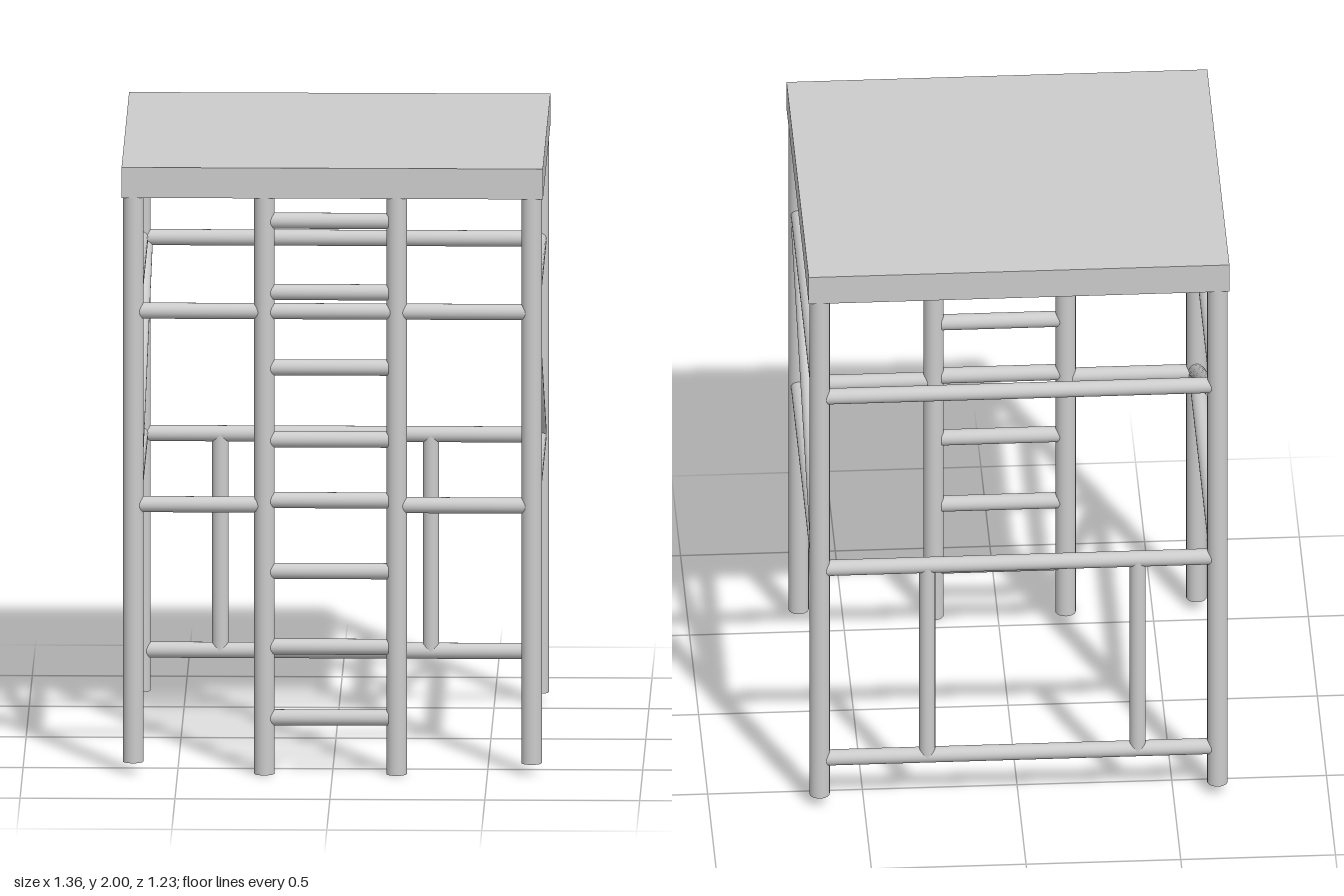
import * as THREE from 'three';

const material = new THREE.MeshStandardMaterial({ color: 0xcccccc });
const UP = new THREE.Vector3(0, 1, 0);

// Round pole running from point a to point b
function pole(name, a, b, radius) {
  const start = new THREE.Vector3(...a);
  const end = new THREE.Vector3(...b);
  const dir = end.clone().sub(start);
  const mesh = new THREE.Mesh(new THREE.CylinderGeometry(radius, radius, dir.length(), 24), material);
  mesh.name = name;
  mesh.position.copy(start).add(end).multiplyScalar(0.5);
  mesh.quaternion.setFromUnitVectors(UP, dir.normalize());
  return mesh;
}

export function createModel() {
  const model = new THREE.Group();
  model.name = 'ladderTower';
  const X = 0.643, Z = 0.58;
  const LEG = 0.033, RAIL = 0.026;
  const TOP = 1.53, MID = 0.885, LOW = 0.172, DECK = 1.9;
  const add = (...args) => model.add(pole(...args));

  // Flat platform
  const platform = new THREE.Mesh(new THREE.BoxGeometry(1.36, 0.1, 1.23), material);
  platform.name = 'platform';
  platform.position.y = DECK + 0.05;
  model.add(platform);

  // Corner legs
  for (const x of [-X, X])
    for (const z of [-Z, Z]) add('leg', [x, 0.038, z], [x, DECK, z], LEG);

  // Side rails
  for (const x of [-X, X])
    for (const y of [TOP, MID]) add('sideRail', [x, y, -Z], [x, y, Z], RAIL);

  // One diagonal brace per side, sloping opposite ways
  add('rightBrace', [X, 1.508, Z], [X, 0.887, -Z], RAIL);
  add('leftBrace', [-X + 0.014, 1.508, -Z], [-X, 0.887, Z], RAIL);

  // Back rails and the two short posts between the lower ones
  for (const y of [TOP, MID, LOW]) add('backRail', [-X, y, -Z], [X, y, -Z], RAIL);
  for (const x of [-0.385, 0.295]) add('backPost', [x, LOW, -Z], [x, MID, -Z], RAIL);

  // Front rails: the upper is continuous, the middle stops at the ladder
  add('frontUpperRail', [-X, 1.522, Z], [X, 1.522, Z], RAIL);
  add('frontMiddleRail', [-X, MID, Z], [-0.24, MID, Z], RAIL);
  add('frontMiddleRail', [0.207, MID, Z], [X, MID, Z], RAIL);

  // Ladder
  const ladder = new THREE.Group();
  ladder.name = 'ladder';
  for (const x of [-0.22, 0.207]) ladder.add(pole('ladderRail', [x, 0, Z], [x, DECK, Z], LEG));
  for (const y of [0.185, 0.418, 0.667, 0.9, 1.1, 1.337, 1.585, 1.82])
    ladder.add(pole('rung', [-0.22, y, Z], [0.182, y, Z], RAIL));
  model.add(ladder);

  return model;
}
